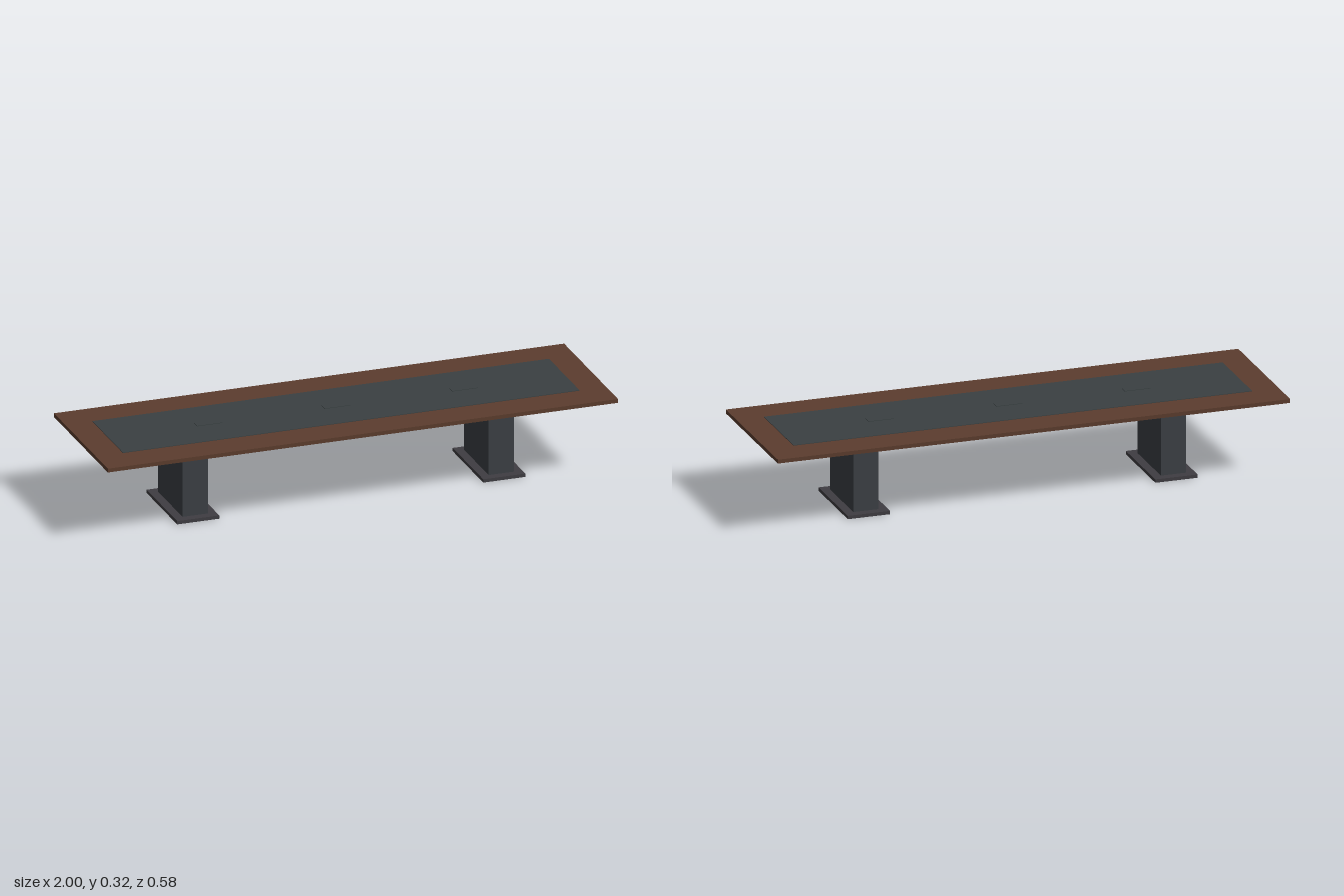
import * as THREE from 'three';

const material = (color) => new THREE.MeshStandardMaterial({ color });

export function createModel() {
  const table = new THREE.Group();
  table.name = 'conferenceTable';

  const wood = material(0x5c3d2e);
  const slate = material(0x3a4042);
  const metal = material(0x3c4045);
  const baseMetal = material(0x3f3d42);

  // Box spanning heights y0 to y1, centred on x and z = 0
  function slab(name, width, depth, y0, y1, x, mat) {
    const mesh = new THREE.Mesh(new THREE.BoxGeometry(width, y1 - y0, depth), mat);
    mesh.name = name;
    mesh.position.set(x, (y0 + y1) / 2, 0);
    table.add(mesh);
  }

  // Wooden top with a thin raised centre panel
  slab('tableTop', 2, 0.58, 0.298, 0.313, 0, wood);
  slab('centrePanel', 1.79, 0.329, 0.313, 0.315, 0, slate);

  // Cable hatches along the panel
  for (const x of [-0.5, 0, 0.5]) {
    slab('cableHatch', 0.1, 0.033, 0.315, 0.317, x, slate);
  }

  // Pedestal legs on floor plates
  for (const [side, x] of [['right', -0.6], ['left', 0.6]]) {
    slab(side + 'Pedestal', 0.099, 0.263, 0.013, 0.298, x, metal);
    slab(side + 'BasePlate', 0.165, 0.329, 0, 0.013, x, baseMetal);
  }

  return table;
}
